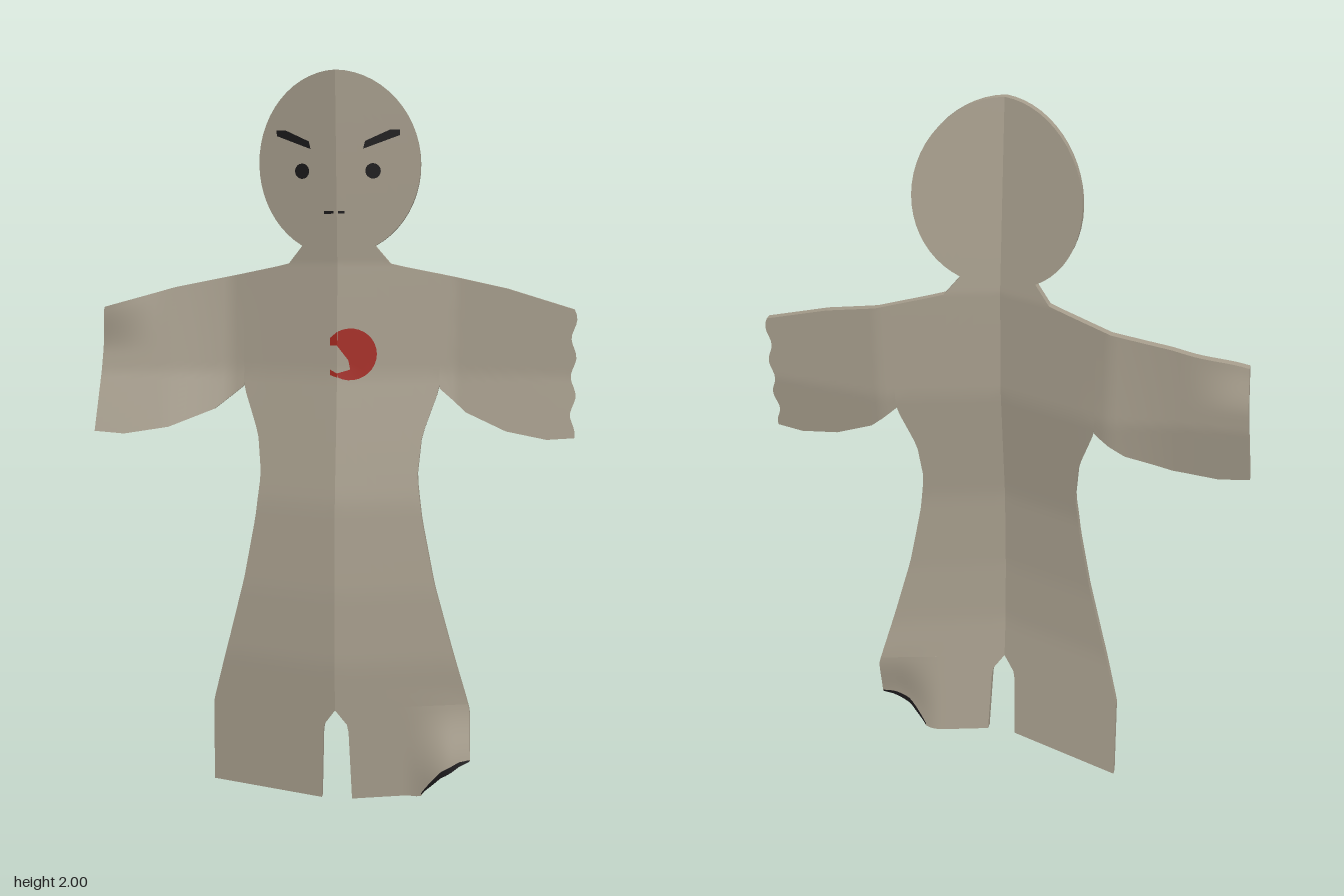
import * as THREE from 'three';

const { lerp, smoothstep } = THREE.MathUtils;
const FOLD = 0.02;      // x of the centre crease
const HALF = 0.01;      // half the thickness of the sheet
const CROTCH = 0.27;    // top of the slit between the legs
const SEAM = 0.272;     // where an arm leaves the torso, measured from the crease
const NECK = 1.546;     // where the round head ends

// Piecewise linear lookup through points with a rising first value
function look(points, k) {
  let i = 1;
  while (i < points.length - 1 && k > points[i][0]) i++;
  const [k0, v0] = points[i - 1], [k1, v1] = points[i];
  return lerp(v0, v1, THREE.MathUtils.clamp((k - k0) / (k1 - k0), 0, 1));
}

// Depth along the crease, from hem to crown
const crease = [[0, 0.04], [0.4, 0.08], [0.6, 0.083], [0.85, 0.075], [1.2, 0.03], [1.5, 0.026], [2, 0.074]];

// Depth of the bent sheet: creased down the middle, arms bent back, corners curled
function depth(x, y) {
  const d = Math.abs(x - FOLD);
  let z = look(crease, y) - 0.3 * d;
  if (y > 0.95) z += 0.4 * Math.max(0, d - 0.31);
  if (x < 0 && y > 0.95) {
    z += 0.035 * smoothstep(d, 0.24, 0.5) * (1.45 - y) / 0.42;
    z += 0.03 * smoothstep(-x, 0.48, 0.64) * smoothstep(y, 1.25, 1.4);
  }
  if (x > 0) z += 0.06 * smoothstep(x, 0.2, 0.35) * (1 - smoothstep(y, 0.05, 0.3));
  return z;
}

// Closed thin sheet; at(u, v) gives [distance from the crease, y], u runs outward and v downward
function sheet(name, material, at, nu, nv, side, half = HALF) {
  const pos = [], index = [];
  const point = (i, j, s) => {
    const [d, y] = at(i / nu, j / nv);
    const x = FOLD + side * d;
    pos.push(x, y, depth(x, y) + s * half);
    return pos.length / 3 - 1;
  };
  const quad = (a, b, c, d, flip) => flip
    ? index.push(a, c, b, a, d, c) : index.push(a, b, c, a, c, d);
  for (const s of [1, -1]) {
    const base = pos.length / 3;
    for (let j = 0; j <= nv; j++) for (let i = 0; i <= nu; i++) point(i, j, s);
    for (let j = 0; j < nv; j++) for (let i = 0; i < nu; i++) {
      const a = base + j * (nu + 1) + i;
      quad(a, a + nu + 1, a + nu + 2, a + 1, s * side < 0);
    }
  }
  // Cut edges, walked around the border
  const border = [];
  for (let i = 0; i < nu; i++) border.push([i, 0, i + 1, 0], [i + 1, nv, i, nv]);
  for (let j = 0; j < nv; j++) border.push([nu, j, nu, j + 1], [0, j + 1, 0, j]);
  for (const [i0, j0, i1, j1] of border) {
    quad(point(i0, j0, 1), point(i1, j1, 1), point(i1, j1, -1), point(i0, j0, -1), side < 0);
  }
  const g = new THREE.BufferGeometry();
  g.setAttribute('position', new THREE.Float32BufferAttribute(pos, 3));
  g.setIndex(index);
  g.computeVertexNormals();
  const mesh = new THREE.Mesh(g, material);
  mesh.name = name;
  return mesh;
}

// Painted mark lying on the front of the sheet, points measured from the crease
function mark(name, material, points, side) {
  const outline = points.map(([d, y]) => new THREE.Vector2(FOLD + side * d, y));
  const g = new THREE.ShapeGeometry(new THREE.Shape(outline));
  const p = g.attributes.position;
  for (let i = 0; i < p.count; i++) p.setZ(i, depth(p.getX(i), p.getY(i)) + HALF + 0.004);
  g.computeVertexNormals();
  const mesh = new THREE.Mesh(g, material);
  mesh.name = name;
  return mesh;
}

function arc(cx, cy, r, from, to) {
  return Array.from({ length: 21 }, (_, i) => {
    const a = THREE.MathUtils.degToRad(lerp(from, to, i / 20));
    return [cx + r * Math.cos(a), cy + r * Math.sin(a)];
  });
}

// Outline of one half below the head: gown, armpit, shoulder, neck
const gown = [[0, 0.375], [0.25, 0.367], [0.45, 0.312], [0.62, 0.267], [0.8, 0.232], [0.92, 0.217],
  [1.03, 0.227], [1.16, SEAM], [1.47, SEAM], [1.497, 0.14], [NECK, 0.099]];
function outer(y) {
  if (y < NECK) return look(gown, y);
  return 0.218 * Math.sqrt(Math.max(0, 1 - ((y - 1.76) / 0.24) ** 2));
}
const slit = [[0, 0.043], [0.22, 0.035], [CROTCH, 0]];
const armTop = [[0, 1.47], [0.5, 1.432], [1, 1.378]];
const armBottom = [[0, 1.16], [0.2, 1.095], [0.5, 1.047], [0.8, 1.028], [1, 1.035]];

// Torn hem of the left leg, by distance from the crease
const torn = [[0.23, 0], [0.25, 0.03], [0.29, 0.08], [0.34, 0.108], [0.37, 0.113]];

// Row heights: head rows by angle, then rows through the shoulders down to the crotch
const rows = [];
for (let i = 0; i <= 24; i++) rows.push(1.76 + 0.24 * Math.cos(i / 24 * 2.67));
for (let i = 1; i <= 8; i++) rows.push(lerp(NECK, 1.47, i / 8));
for (let i = 1; i <= 40; i++) rows.push(lerp(1.47, CROTCH, i / 40));

export function createModel() {
  const model = new THREE.Group();
  model.name = 'foldedPaperFigure';
  const card = new THREE.MeshStandardMaterial({ color: 0xa69d8c });
  card.name = 'card';
  const ink = new THREE.MeshStandardMaterial({ color: 0x1a181a });
  ink.name = 'blackInk';
  const red = new THREE.MeshStandardMaterial({ color: 0xa3281f });
  red.name = 'redPaint';

  for (const side of [1, -1]) {
    const label = side > 0 ? 'left' : 'right';

    // Head and torso half, from the crease to the outline
    model.add(sheet(label + 'HeadAndTorso', card, (u, v) => {
      const y = rows[Math.round(v * (rows.length - 1))];
      return [u * outer(y), y];
    }, 8, rows.length - 1, side));

    // Leg; only the left one has a torn corner
    model.add(sheet(label + 'Leg', card, (u, v) => {
      const hem = side > 0 ? look(torn, lerp(0.043, 0.37, u)) : 0;
      const y = lerp(CROTCH, hem, v);
      return [lerp(look(slit, y), outer(y), u), y];
    }, 26, 12, side));

    // Arm; the left end is ragged, the right end slants
    model.add(sheet(label + 'Arm', card, (u, v) => {
      const end = side > 0 ? 0.632 + 0.007 * Math.sin(v * 21) : lerp(0.654, 0.682, v);
      return [lerp(SEAM, end, u), lerp(look(armTop, u), look(armBottom, u), v)];
    }, 20, 26, side));

    // Brow and eye
    model.add(
      mark(label + 'Brow', ink, [[0.07, 1.8], [0.165, 1.836], [0.165, 1.85], [0.14, 1.85], [0.075, 1.82]], side),
      mark(label + 'Eye', ink, arc(0.095, 1.743, 0.02, 0, 340), side)
    );
  }

  // Small mouth dash on each side of the crease
  for (const [name, start, end, side] of [['mouthLeft', 0.004, 0.02, 1], ['mouthRight', 0.008, 0.035, -1]]) {
    model.add(mark(name, ink, [[start, 1.631], [end, 1.631], [end, 1.638], [start, 1.638]], side));
  }

  // Charred edge along the torn corner of the left leg
  model.add(sheet('charredEdge', ink, (u, v) => {
    const d = lerp(0.235, 0.37, u);
    return [d, look(torn, d) + lerp(0.004, -0.014 * Math.sin(Math.PI * u), v)];
  }, 14, 1, 1, 0.011));

  // Red chest patch with a notch, split at the crease
  model.add(
    mark('chestPatchLeft', red, [...arc(0.035, 1.256, 0.07, -118, 118),
      [0, 1.28], [0.03, 1.24], [0.035, 1.215], [0, 1.205]], 1),
    mark('chestPatchRightTop', red, [[0, 1.28], [0.02, 1.28], [0.02, 1.3], [0, 1.317]], -1),
    mark('chestPatchRightBottom', red, [[0, 1.194], [0.02, 1.2], [0.02, 1.215], [0, 1.205]], -1)
  );
  return model;
}
